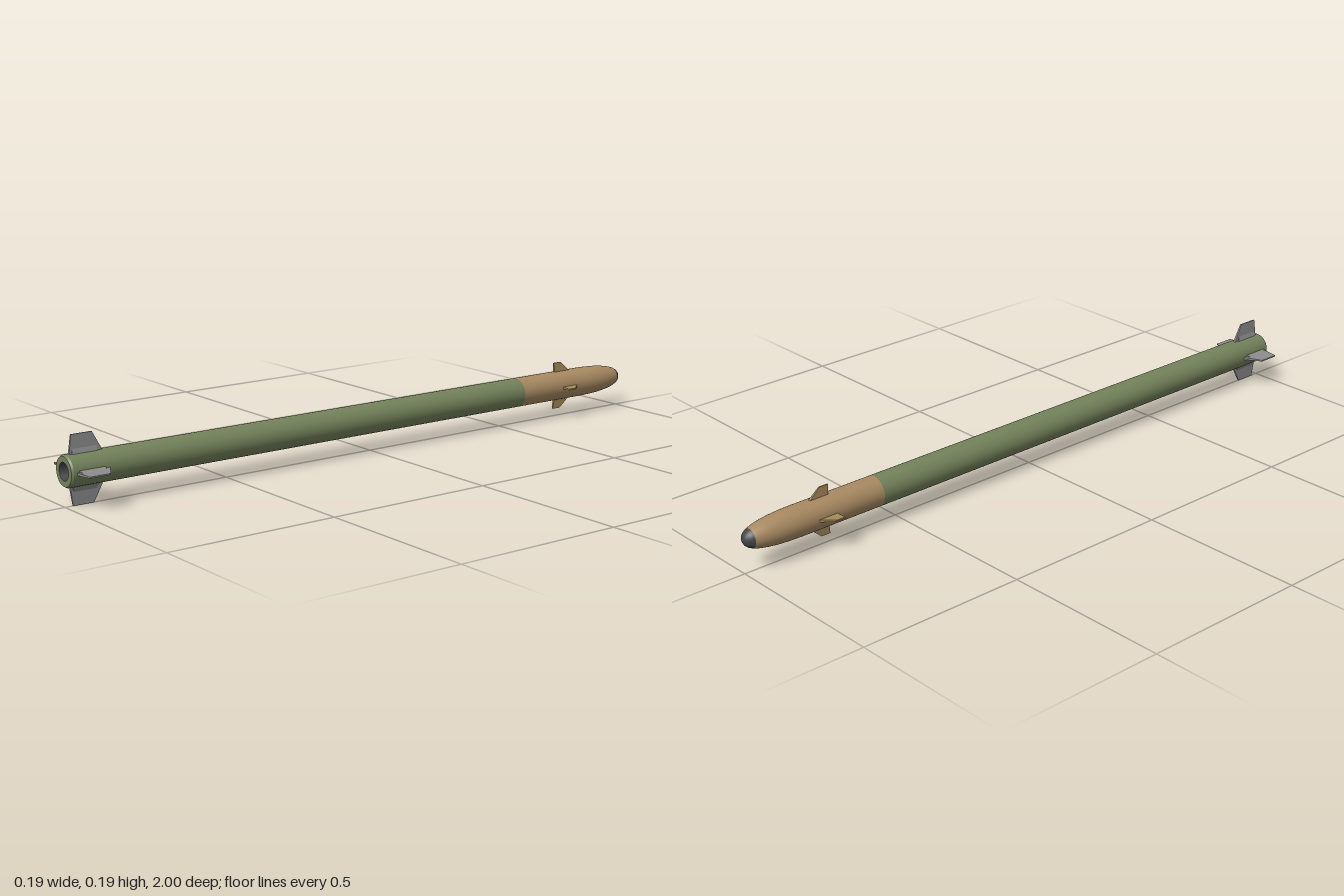
import * as THREE from 'three';

const AXIS_Y = 0.097; // height of the long axis
const R = 0.0445;     // tube radius

function material(name, color) {
  const m = new THREE.MeshStandardMaterial({ color });
  m.name = name;
  return m;
}

// Surface of revolution along z from [z, radius] pairs
function turned(name, pairs, mat) {
  const geo = new THREE.LatheGeometry(pairs.map(([z, r]) => new THREE.Vector2(r, z)), 40);
  geo.rotateX(Math.PI / 2);
  const mesh = new THREE.Mesh(geo, mat);
  mesh.name = name;
  return mesh;
}

// Flat blade from [z, radius] outline; thickness tapers from root to tip
function blade(outline, rootThick, tipThick) {
  const shape = new THREE.Shape(outline.map(([z, r]) => new THREE.Vector2(z, r)));
  const geo = new THREE.ExtrudeGeometry(shape, { depth: 1, bevelEnabled: false });
  geo.translate(0, 0, -0.5);
  const radii = outline.map((p) => p[1]);
  const r0 = Math.min(...radii), r1 = Math.max(...radii);
  const pos = geo.attributes.position;
  for (let i = 0; i < pos.count; i++) {
    const t = (pos.getY(i) - r0) / (r1 - r0);
    pos.setZ(i, pos.getZ(i) * THREE.MathUtils.lerp(rootThick, tipThick, t));
  }
  geo.rotateY(-Math.PI / 2);
  geo.computeVertexNormals();
  return geo;
}

// Four copies around the long axis
function cross(name, geo, mat) {
  const group = new THREE.Group();
  group.name = name + 's';
  for (let i = 0; i < 4; i++) {
    const mesh = new THREE.Mesh(geo, mat);
    mesh.name = name;
    mesh.rotation.z = i * Math.PI / 2;
    group.add(mesh);
  }
  return group;
}

export function createModel() {
  const green = material('olive green', 0x74825b);
  const tan = material('tan', 0xa98a62);
  const finTan = material('fin tan', 0xa68a5a);
  const grey = material('fin grey', 0x8c8c8c);
  const dark = material('dark grey', 0x454548);
  const black = material('nozzle black', 0x352e2e);

  const model = new THREE.Group();
  model.name = 'model';
  const body = new THREE.Group();
  body.name = 'body';
  body.position.y = AXIS_Y;
  model.add(body);

  // Nose and tube
  body.add(
    turned('noseTip', [[-1, 0], [-0.998, 0.009], [-0.993, 0.017], [-0.986, 0.023], [-0.977, 0.0275]], dark),
    turned('noseSection', [[-0.977, 0.0275], [-0.96, 0.033], [-0.935, 0.0378], [-0.905, 0.0415],
      [-0.87, 0.0437], [-0.83, R], [-0.567, R]], tan),
    turned('tube', [[-0.567, R], [0.994, R]], green),
    turned('tubeChamfer', [[0.994, R], [1, 0.041]], green),
    turned('tailRing', [[1, 0.041], [1, 0.025]], green),
  );

  // Recessed nozzle
  body.add(
    turned('nozzleWall', [[1, 0.025], [0.95, 0.018]], dark),
    turned('nozzleFloor', [[0.95, 0.018], [0.95, 0]], black),
  );

  // Tail fins with thicker roots
  body.add(
    cross('tailFin', blade([[0.885, 0.04], [0.985, 0.04], [0.977, 0.096], [0.915, 0.096]], 0.008, 0.004), grey),
    cross('tailFinRoot', blade([[0.9, 0.04], [0.98, 0.04], [0.975, 0.058], [0.905, 0.058]], 0.018, 0.0065), grey),
  );

  // Small steering fins near the nose
  body.add(
    cross('noseFin', blade([[-0.79, 0.04], [-0.727, 0.04], [-0.723, 0.073], [-0.752, 0.073]], 0.008, 0.004), finTan),
  );

  return model;
}
